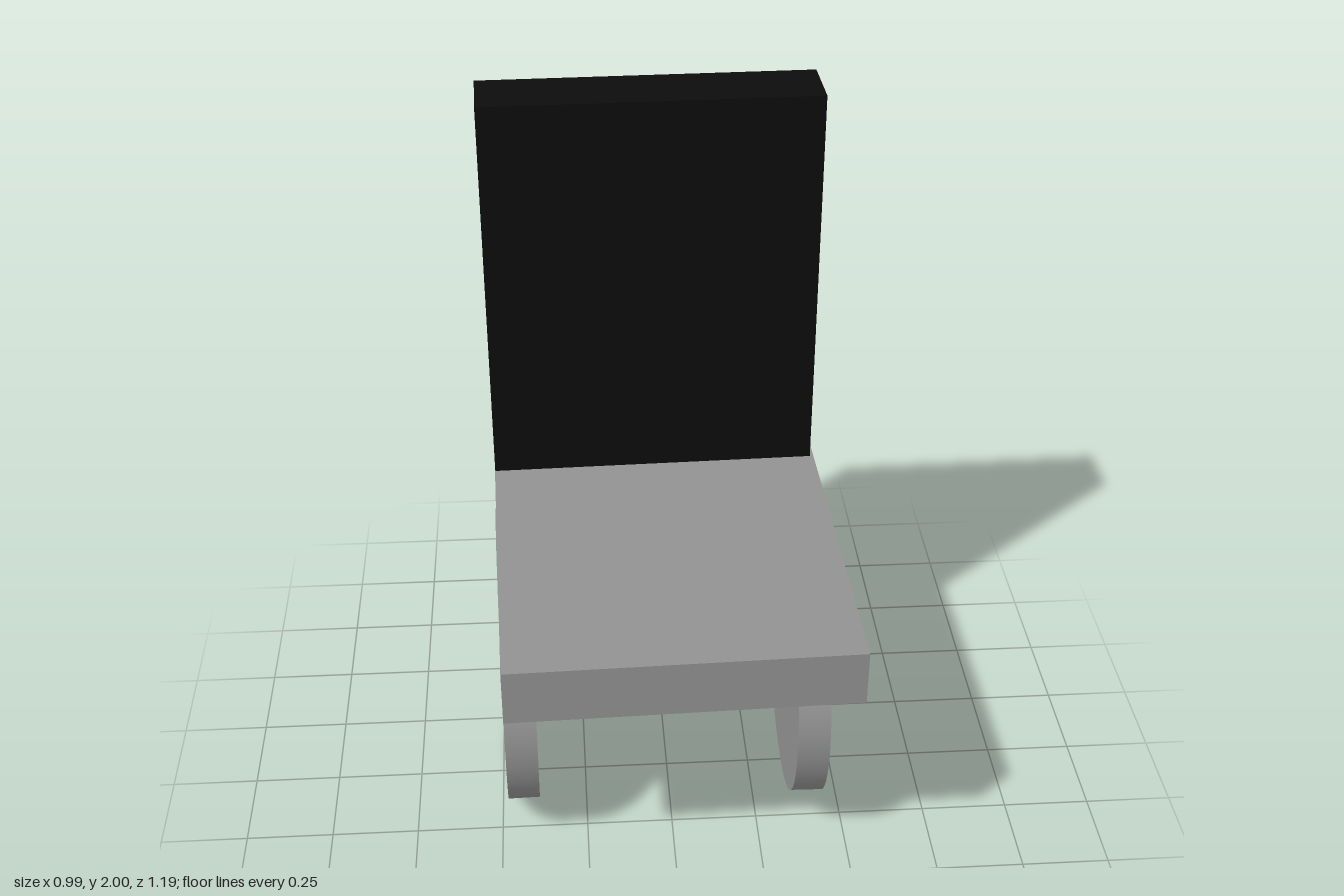
import * as THREE from 'three';

const YAW = 0.025; // slight twist of the chair

export function createModel() {
  const model = new THREE.Group();
  model.name = 'wheeledChair';

  const grey = new THREE.MeshStandardMaterial({ name: 'grey', color: 0x929292 });
  const black = new THREE.MeshStandardMaterial({ name: 'black', color: 0x0c0c0c });

  // Seat and backrest share the twist
  const chair = new THREE.Group();
  chair.name = 'chair';
  chair.rotation.y = YAW;
  model.add(chair);

  const addBox = (name, material, min, max) => {
    const size = max.map((v, i) => v - min[i]);
    const mesh = new THREE.Mesh(new THREE.BoxGeometry(...size), material);
    mesh.position.set(...max.map((v, i) => (v + min[i]) / 2));
    mesh.name = name;
    chair.add(mesh);
  };
  addBox('seat', grey, [-0.48, 0.69, -0.582], [0.48, 0.853, 0.582]);
  // The backrest runs down through the seat to its underside
  addBox('backrest', black, [-0.479, 0.688, -0.581], [0.469, 2, -0.387]);

  // Oval wheels, toed in, their tops sunk into the seat
  const wheelGeometry = new THREE.CylinderGeometry(1, 1, 0.09, 64);
  wheelGeometry.rotateZ(Math.PI / 2);
  wheelGeometry.scale(1, 0.4, 0.482);
  const addWheel = (name, x, y, z, turn) => {
    const wheel = new THREE.Mesh(wheelGeometry, grey);
    wheel.position.set(x, y, z);
    wheel.rotation.y = turn;
    wheel.name = name;
    model.add(wheel);
  };
  addWheel('leftWheel', 0.394, 0.431, -0.037, -YAW);
  addWheel('rightWheel', -0.441, 0.402, -0.086, YAW);

  return model;
}
